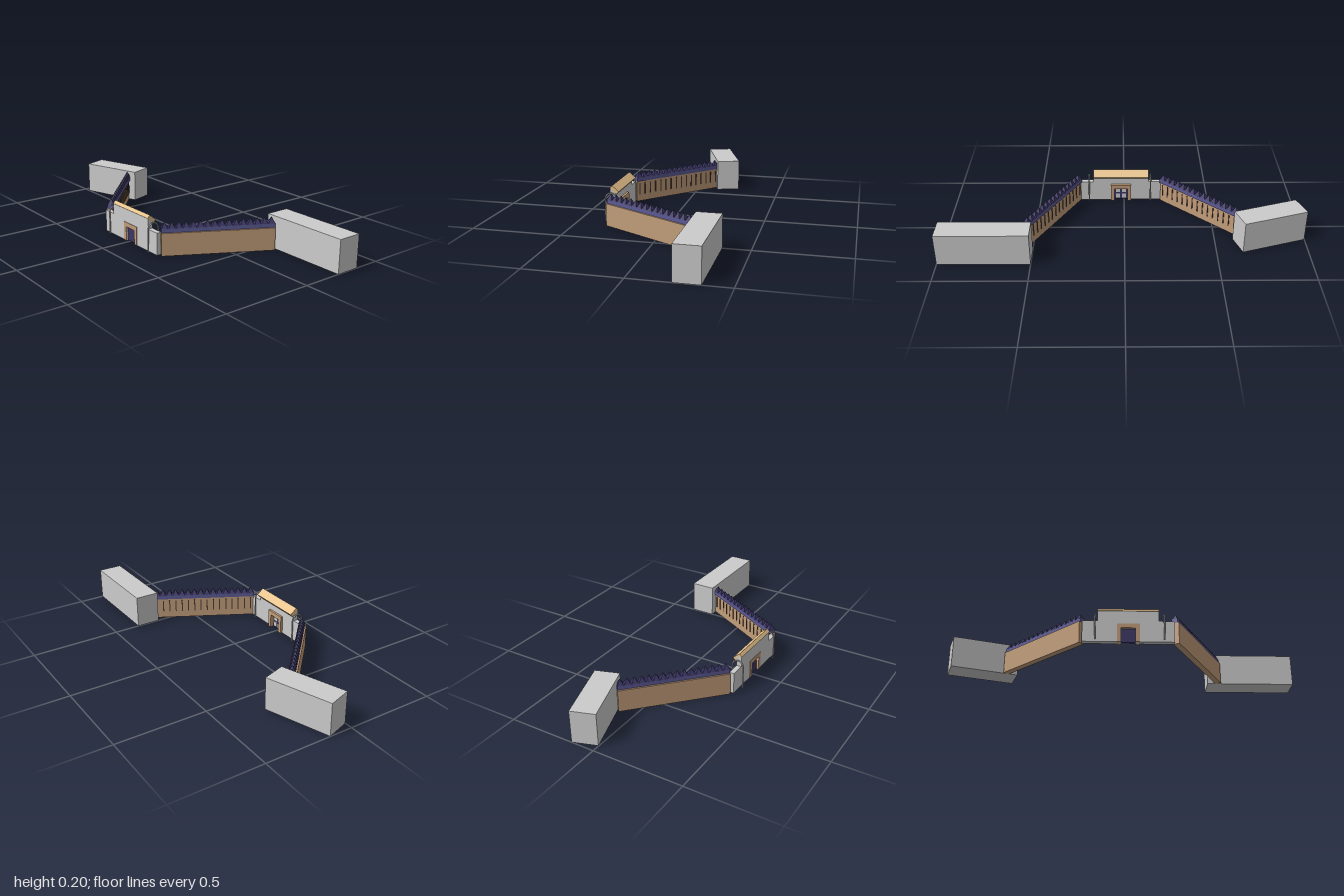
import * as THREE from 'three';

const mat = (color) => new THREE.MeshStandardMaterial({ color, flatShading: true });
const grey = mat(0xcccccc);
const tan = mat(0xc29d7a);
const lightTan = mat(0xe6c28c);
const blue = mat(0x5c5a94);
const purple = mat(0x3b3564);
const dark = mat(0x4a3a30);

function add(parent, name, geometry, material, x = 0, y = 0, z = 0) {
  const mesh = new THREE.Mesh(geometry, material);
  mesh.name = name;
  mesh.position.set(x, y, z);
  parent.add(mesh);
  return mesh;
}

const box = (w, h, d) => new THREE.BoxGeometry(w, h, d);

// Spiked wall between two ground points [x, z]; local +z is its outer face
function spikedWall(name, a, b) {
  const dx = b[0] - a[0], dz = b[1] - a[1];
  const length = Math.hypot(dx, dz);
  const wall = new THREE.Group();
  wall.name = name;
  wall.position.set((a[0] + b[0]) / 2, 0, (a[1] + b[1]) / 2);
  wall.rotation.y = Math.atan2(-dz, dx);

  add(wall, 'wallBody', box(length, 0.124, 0.034), tan, 0, 0.062, 0);
  add(wall, 'wallBeam', box(length, 0.024, 0.034), blue, 0, 0.135, -0.008);

  // Row of four-sided spikes on the beam, slits on the inner face
  const count = 16, step = length / count;
  const spike = new THREE.ConeGeometry(0.0245, 0.034, 4, 1);
  spike.rotateY(Math.PI / 4);
  for (let i = 0; i < count; i++) {
    const x = (i + 0.5) * step - length / 2;
    add(wall, 'spike', spike, purple, x, 0.163, -0.008);
    add(wall, 'slit', box(0.006, 0.07, 0.004), dark, x, 0.075, -0.018);
  }
  return wall;
}

// Gatehouse: stepped wall with doorway, framed door, tilted roof and hoops
function gatehouse() {
  const gate = new THREE.Group();
  gate.name = 'gatehouse';
  const cx = 0.018;

  const outline = new THREE.Shape();
  [[-0.225, 0], [-0.02, 0], [-0.02, 0.08], [0.056, 0.08], [0.056, 0], [0.26, 0],
    [0.26, 0.122], [0.18, 0.122], [0.18, 0.18], [-0.145, 0.18], [-0.145, 0.122], [-0.225, 0.122]]
    .forEach(([x, y], i) => (i ? outline.lineTo(x, y) : outline.moveTo(x, y)));
  const wallGeometry = new THREE.ExtrudeGeometry(outline, { depth: 0.028, bevelEnabled: false });
  add(gate, 'gateWall', wallGeometry, grey, 0, 0, 0.304);

  // Door frame
  for (const s of [-1, 1]) {
    add(gate, 'doorPost', box(0.022, 0.105, 0.044), tan, cx + s * 0.049, 0.0525, 0.313);
  }
  add(gate, 'doorLintel', box(0.076, 0.025, 0.044), tan, cx, 0.0925, 0.313);

  // Door leaf with panes on the inner side
  add(gate, 'door', box(0.076, 0.08, 0.008), purple, cx, 0.04, 0.318);
  for (const s of [-1, 1]) {
    for (const y of [0.022, 0.058]) {
      add(gate, 'doorPane', box(0.026, 0.026, 0.003), grey, cx + s * 0.018, y, 0.313);
    }
  }

  // Roof slab sloping down to the back
  const roof = add(gate, 'roof', box(0.326, 0.021, 0.05), lightTan, cx, 0.173, 0.3075);
  roof.rotation.x = -0.69;

  // Hoops straddling the low walls
  const path = new THREE.CurvePath();
  const p = (y, z) => new THREE.Vector3(0, y, z);
  const r = 0.032, zc = 0.318, top = 0.129;
  const arc = [];
  for (let i = 0; i <= 12; i++) {
    const t = (i / 12) * Math.PI;
    arc.push(p(top + r * Math.sin(t), zc + r * Math.cos(t)));
  }
  path.add(new THREE.LineCurve3(p(0.005, zc + r), arc[0]));
  path.add(new THREE.CatmullRomCurve3(arc));
  path.add(new THREE.LineCurve3(arc[12], p(0.005, zc - r)));
  const hoop = new THREE.TubeGeometry(path, 48, 0.004, 8, false);
  const hoopMaterial = new THREE.MeshStandardMaterial({ color: 0xcccccc, side: THREE.DoubleSide });
  for (const x of [-0.157, 0.207]) add(gate, 'hoop', hoop, hoopMaterial, x);
  return gate;
}

export function createModel() {
  const model = new THREE.Group();
  model.name = 'gateAndWalls';

  // End buildings
  add(model, 'leftBuilding', box(0.5, 0.181, 0.135), grey, 0.75, 0.0905, -0.287);
  const right = add(model, 'rightBuilding', box(0.375, 0.181, 0.135), grey, -0.8, 0.0905, -0.126);
  right.rotation.y = 0.326;

  model.add(gatehouse());
  model.add(spikedWall('leftWall', [0.27, 0.314], [0.56, -0.213]));
  model.add(spikedWall('rightWall', [-0.663, -0.1], [-0.228, 0.308]));
  return model;
}
